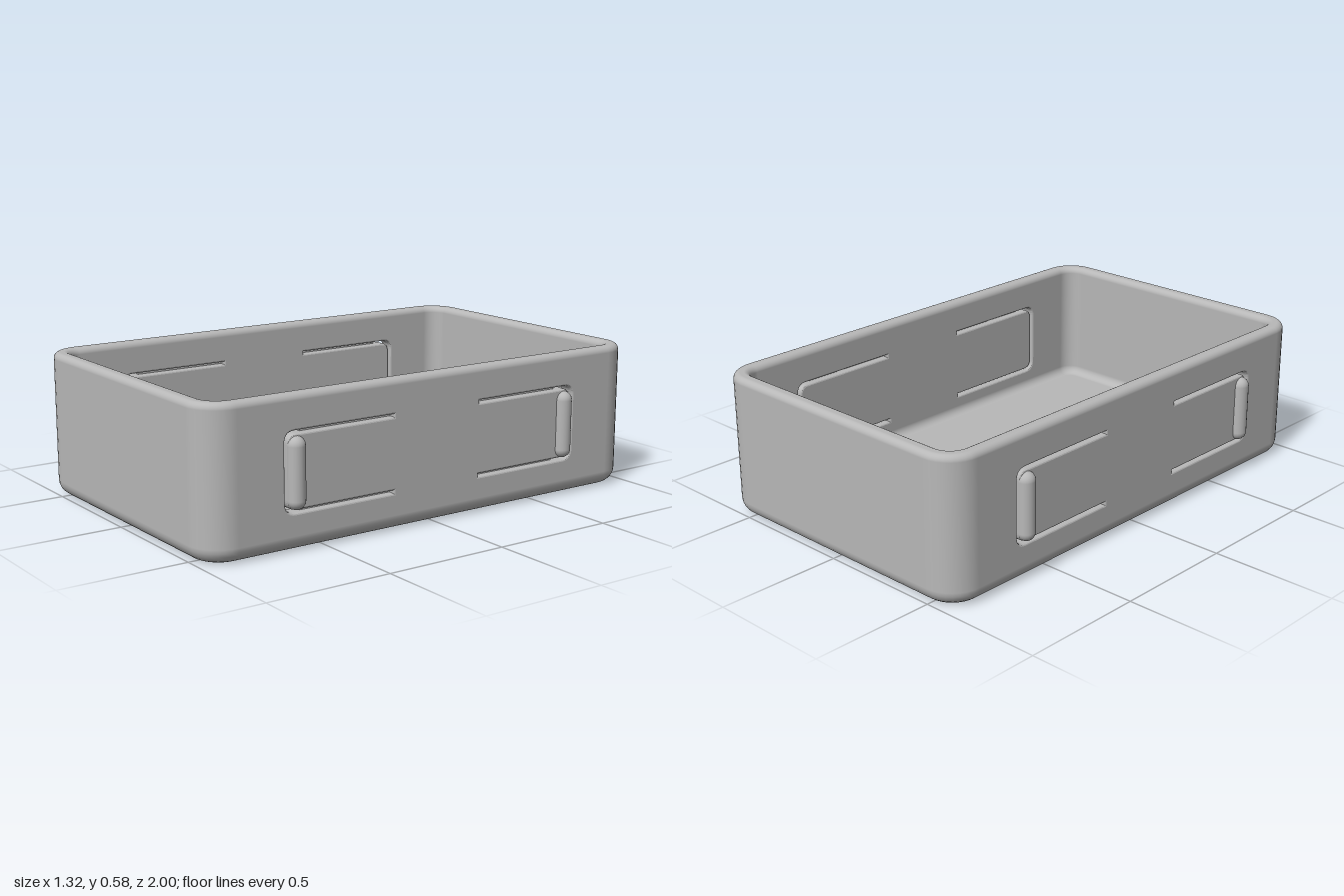
import * as THREE from 'three';

const HX = 0.627, HZ = 1, TOP = 0.576, CORNER = 0.13, WALL = 0.065;
const RIM = 0.025, PANEL_LOW = 0.1, PANEL_HIGH = TOP - RIM, STEPS = 8;

// Quarter of the wall section: rows of [inset, y, normal outward, normal up]
function arc(inset, y, r, from, to, facing = 1) {
  const rows = [];
  for (let i = 0; i <= 6; i++) {
    const a = THREE.MathUtils.degToRad(from + (to - from) * i / 6);
    const c = Math.cos(a), s = Math.sin(a);
    rows.push([inset - r * c, y + r * s, facing * c, facing * s]);
  }
  return rows;
}

// Rounded tray shell swept round the outline, left open where the side panels sit
function shellGeometry() {
  const rows = [
    ...arc(0.06, 0.06, 0.06, -90, 0),
    [0, PANEL_LOW, 1, 0],
    ...arc(RIM, PANEL_HIGH, RIM, 0, 90),
    ...arc(WALL - RIM, PANEL_HIGH, RIM, 90, 180),
    ...arc(WALL + 0.035, PANEL_LOW, 0.035, 0, -90, -1),
  ];
  const pos = [], nor = [], index = [];
  const per = STEPS + 1, n = per * 4;
  for (const [inset, y, out, up] of rows) {
    for (let k = 0; k < 4; k++) {
      const cx = (k === 0 || k === 3 ? 1 : -1) * (HX - CORNER);
      const cz = (k < 2 ? 1 : -1) * (HZ - CORNER);
      for (let i = 0; i <= STEPS; i++) {
        const a = (k + i / STEPS) * Math.PI / 2;
        const dx = Math.cos(a), dz = Math.sin(a), r = CORNER - inset;
        pos.push(cx + dx * r, y, cz + dz * r);
        nor.push(dx * out, up, dz * out);
      }
    }
  }
  for (let i = 0; i < rows.length - 1; i++) {
    for (let j = 0; j < n; j++) {
      const longSide = j % per === STEPS && Math.floor(j / per) % 2 === 1;
      if (longSide && (i === 7 || i === 21)) continue;
      const j2 = (j + 1) % n;
      const a = i * n + j, b = a + n, c = (i + 1) * n + j2, d = i * n + j2;
      index.push(a, b, c, a, c, d);
    }
  }
  // Underside and inner floor
  const under = pos.length / 3, floor = under + 1, last = (rows.length - 1) * n;
  pos.push(0, 0, 0, 0, rows[rows.length - 1][1], 0);
  nor.push(0, -1, 0, 0, 1, 0);
  for (let j = 0; j < n; j++) {
    const j2 = (j + 1) % n;
    index.push(under, j, j2, floor, last + j2, last + j);
  }
  const g = new THREE.BufferGeometry();
  g.setAttribute('position', new THREE.Float32BufferAttribute(pos, 3));
  g.setAttribute('normal', new THREE.Float32BufferAttribute(nor, 3));
  g.setIndex(index);
  return g;
}

// C-shaped slot that frees a spring tab
function slotPath(s) {
  const p = new THREE.Path();
  const x0 = 0.195, xo = 0.685, xi = 0.658, lo = 0.137, li = 0.163, hi = 0.425, ho = 0.451;
  const ro = 0.05, ri = 0.03;
  p.moveTo(s * x0, lo);
  p.lineTo(s * (xo - ro), lo);
  p.quadraticCurveTo(s * xo, lo, s * xo, lo + ro);
  p.lineTo(s * xo, ho - ro);
  p.quadraticCurveTo(s * xo, ho, s * (xo - ro), ho);
  p.lineTo(s * x0, ho);
  p.lineTo(s * x0, hi);
  p.lineTo(s * (xi - ri), hi);
  p.quadraticCurveTo(s * xi, hi, s * xi, hi - ri);
  p.lineTo(s * xi, li + ri);
  p.quadraticCurveTo(s * xi, li, s * (xi - ri), li);
  p.lineTo(s * x0, li);
  p.closePath();
  return p;
}

// Flat part of a long wall, with softened slot edges
function panelGeometry() {
  const z = HZ - CORNER, bevel = 0.012;
  const shape = new THREE.Shape([
    new THREE.Vector2(-z, PANEL_LOW), new THREE.Vector2(z, PANEL_LOW),
    new THREE.Vector2(z, PANEL_HIGH), new THREE.Vector2(-z, PANEL_HIGH),
  ]);
  shape.holes.push(slotPath(1), slotPath(-1));
  const g = new THREE.ExtrudeGeometry(shape, {
    depth: WALL - 2 * bevel, bevelThickness: bevel, bevelSize: 0.008,
    bevelSegments: 3, curveSegments: 8,
  });
  return g.translate(0, 0, HX - WALL + bevel);
}

export function createModel() {
  const model = new THREE.Group();
  model.name = 'tray';
  const grey = new THREE.MeshStandardMaterial({ color: 0xb8b8b8 });
  grey.name = 'grey plastic';
  const add = (parent, geometry, name, x = 0, y = 0, z = 0) => {
    const m = new THREE.Mesh(geometry, grey);
    m.name = name;
    m.position.set(x, y, z);
    parent.add(m);
    return m;
  };

  add(model, shellGeometry(), 'shell');

  const panel = panelGeometry();
  const bump = new THREE.CapsuleGeometry(0.035, 0.198, 8, 20);
  const web = new THREE.BoxGeometry(0.4, 0.02, 0.01);
  for (const side of [1, -1]) {
    const wall = new THREE.Group();
    wall.name = side > 0 ? 'leftWall' : 'rightWall';
    wall.rotation.y = side * Math.PI / 2;
    add(wall, panel, 'slottedPanel');
    for (const s of [1, -1]) {
      // Catch ridge on the tab end, and thin webs closing the straight slots
      add(wall, bump, 'catchRidge', s * 0.631, 0.291, 0.625);
      for (const y of [0.15, 0.438]) add(wall, web, 'slotWeb', s * 0.4, y, HX - WALL / 2);
    }
    model.add(wall);
  }
  return model;
}
